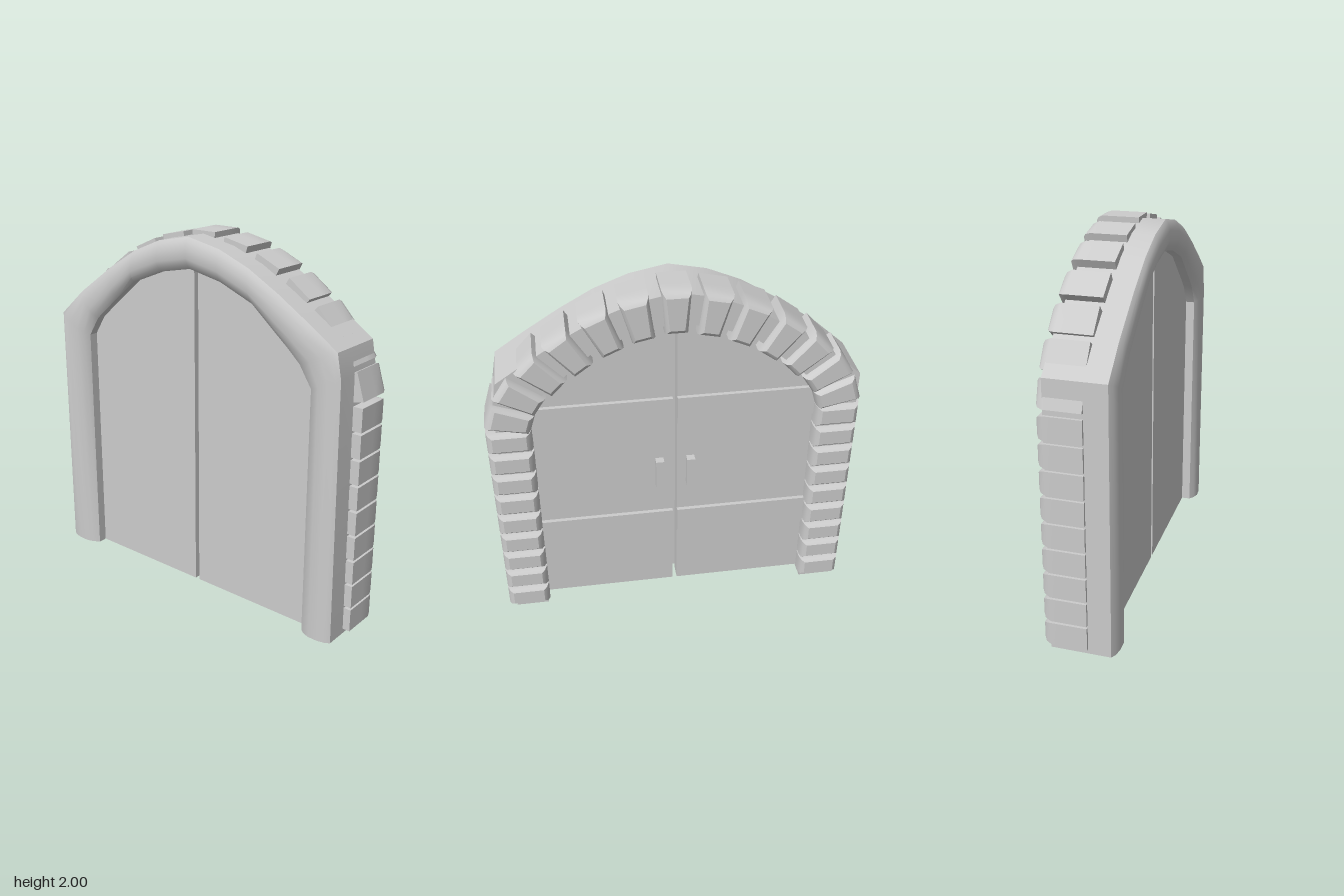
import * as THREE from 'three';
import { toCreasedNormals } from 'three/addons/utils/BufferGeometryUtils.js';

const material = new THREE.MeshStandardMaterial({ color: 0xcccccc });

function add(parent, geometry, name, x = 0, y = 0, z = 0) {
  const mesh = new THREE.Mesh(geometry, material);
  mesh.name = name;
  mesh.position.set(x, y, z);
  parent.add(mesh);
  return mesh;
}

// Arched surround: a rounded section swept between an outer and an inner outline
function frameGeometry() {
  const outer = [[-0.97, 0], [-0.97, 1.44], [-0.8, 1.59], [-0.56, 1.76], [-0.38, 1.87], [-0.2, 1.945], [0, 1.985],
    [0.2, 1.945], [0.38, 1.875], [0.56, 1.775], [0.75, 1.655], [0.905, 1.55], [0.93, 1.42], [0.945, 0]];
  const inner = [[-0.76, 0], [-0.76, 1.34], [-0.69, 1.45], [-0.53, 1.59], [-0.4, 1.7], [-0.2, 1.78], [0, 1.82],
    [0.2, 1.78], [0.4, 1.7], [0.53, 1.59], [0.62, 1.515], [0.69, 1.45], [0.76, 1.34], [0.76, 0]];
  // [share of the way from outer to inner, z]
  const section = [[0, -0.155], [0, 0.16], [0.12, 0.175], [0.35, 0.185], [0.65, 0.185], [0.85, 0.172], [1, 0.15], [1, -0.155]];
  const n = section.length;
  const positions = [], index = [];
  outer.forEach(([ox, oy], i) => {
    const [ix, iy] = inner[i];
    for (const [t, z] of section) positions.push(ox + (ix - ox) * t, oy + (iy - oy) * t, z);
  });
  for (let i = 0; i < outer.length - 1; i++) {
    for (let j = 0; j < n; j++) {
      const a = i * n + j, b = i * n + (j + 1) % n;
      index.push(a, b, a + n, b, b + n, a + n);
    }
  }
  const end = (outer.length - 1) * n;
  for (let j = 1; j < n - 1; j++) {
    index.push(0, j + 1, j, end, end + j, end + j + 1);
  }
  const geometry = new THREE.BufferGeometry();
  geometry.setAttribute('position', new THREE.Float32BufferAttribute(positions, 3));
  geometry.setIndex(index);
  return toCreasedNormals(geometry, 0.5);
}

// Stone block with a rounded back; taper narrows its inner (-x) end
function brickGeometry(height, taper) {
  const w = 0.235, d = 0.23;
  const geometry = new THREE.BoxGeometry(w, height, d, 1, 1, 4);
  const layers = [[-0.115, 0.03], [-0.102, 0.011], [-0.075, 0], [0, 0], [0.115, 0]];
  const p = geometry.attributes.position;
  for (let i = 0; i < p.count; i++) {
    const [z, inset] = layers[Math.round((p.getZ(i) / d + 0.5) * 4)];
    const sx = Math.sign(p.getX(i)), sy = Math.sign(p.getY(i));
    const half = height / 2 * (sx < 0 ? taper : 1);
    p.setXYZ(i, sx * (w / 2 - inset), sy * (half - inset * 0.7), z);
  }
  return toCreasedNormals(geometry, 0.6);
}

// Half of the arched opening, for the +x side
function leafGeometry(bottom, depth) {
  const shape = new THREE.Shape([[0.013, bottom], [0.8, bottom], [0.8, 1.36], [0.72, 1.48],
    [0.42, 1.72], [0.21, 1.8], [0.013, 1.835]].map(([x, y]) => new THREE.Vector2(x, y)));
  return new THREE.ExtrudeGeometry(shape, { depth, bevelEnabled: false });
}

// Mirror across x = 0, turning the faces back outward
function mirrorX(geometry) {
  const g = geometry.index ? geometry.toNonIndexed() : geometry.clone();
  g.scale(-1, 1, 1);
  const p = g.attributes.position;
  for (let i = 0; i < p.count; i += 3) {
    const a = [p.getX(i), p.getY(i), p.getZ(i)];
    p.setXYZ(i, p.getX(i + 1), p.getY(i + 1), p.getZ(i + 1));
    p.setXYZ(i + 1, ...a);
  }
  g.computeVertexNormals();
  return g;
}

export function createModel() {
  const model = new THREE.Group();
  model.name = 'archedDoorway';
  add(model, frameGeometry(), 'frame');

  // Stone blocks up both posts and around the arch
  const bricks = new THREE.Group();
  bricks.name = 'bricks';
  model.add(bricks);
  const postBrick = brickGeometry(0.125, 1);
  const archBrick = brickGeometry(0.15, 0.78);
  const arch = [[0.965, 1.365, 17], [0.89, 1.525, 33], [0.76, 1.66, 43], [0.6, 1.785, 54], [0.41, 1.895, 66], [0.21, 1.967, 78]];
  const placeArchBrick = (x, y, angle) => {
    const c = Math.cos(angle), s = Math.sin(angle);
    add(bricks, archBrick, 'archBrick', x - c * 0.1175, y - s * 0.1175, -0.075).rotation.z = angle;
  };
  for (const side of [1, -1]) {
    for (let k = 0; k < 9; k++) {
      const brick = add(bricks, postBrick, 'postBrick', side * 0.8675, 0.09 + k * 0.1385, -0.075);
      if (side < 0) brick.rotation.z = Math.PI;
    }
    for (const [x, y, degrees] of arch) {
      const angle = THREE.MathUtils.degToRad(degrees);
      placeArchBrick(side * x, y, side > 0 ? angle : Math.PI - angle);
    }
  }
  placeArchBrick(0, 2, Math.PI / 2);

  // Two door leaves, each with a front panel, a back panel, bands and a handle
  const frontPanel = leafGeometry(0, 0.04);
  const backPanel = leafGeometry(0.04, 0.08);
  const band = new THREE.BoxGeometry(0.775, 0.17, 0.03);
  const handle = new THREE.BoxGeometry(0.045, 0.18, 0.045);
  for (const side of [1, -1]) {
    const leaf = new THREE.Group();
    leaf.name = side > 0 ? 'leftLeaf' : 'rightLeaf';
    model.add(leaf);
    const sided = (g) => (side > 0 ? g : mirrorX(g));
    add(leaf, sided(frontPanel), 'frontPanel', 0, 0, 0.06);
    add(leaf, sided(backPanel), 'backPanel', 0, 0, -0.1);
    for (const y of [0.505, 1.27]) add(leaf, band, 'band', side * 0.4, y, -0.107);
    add(leaf, handle, 'handle', side * 0.085, 0.87, -0.12);
  }

  // Strip closing the gap between the leaves
  add(model, new THREE.BoxGeometry(0.06, 1.77, 0.02), 'centreStrip', 0, 0.925, 0.02);
  return model;
}
